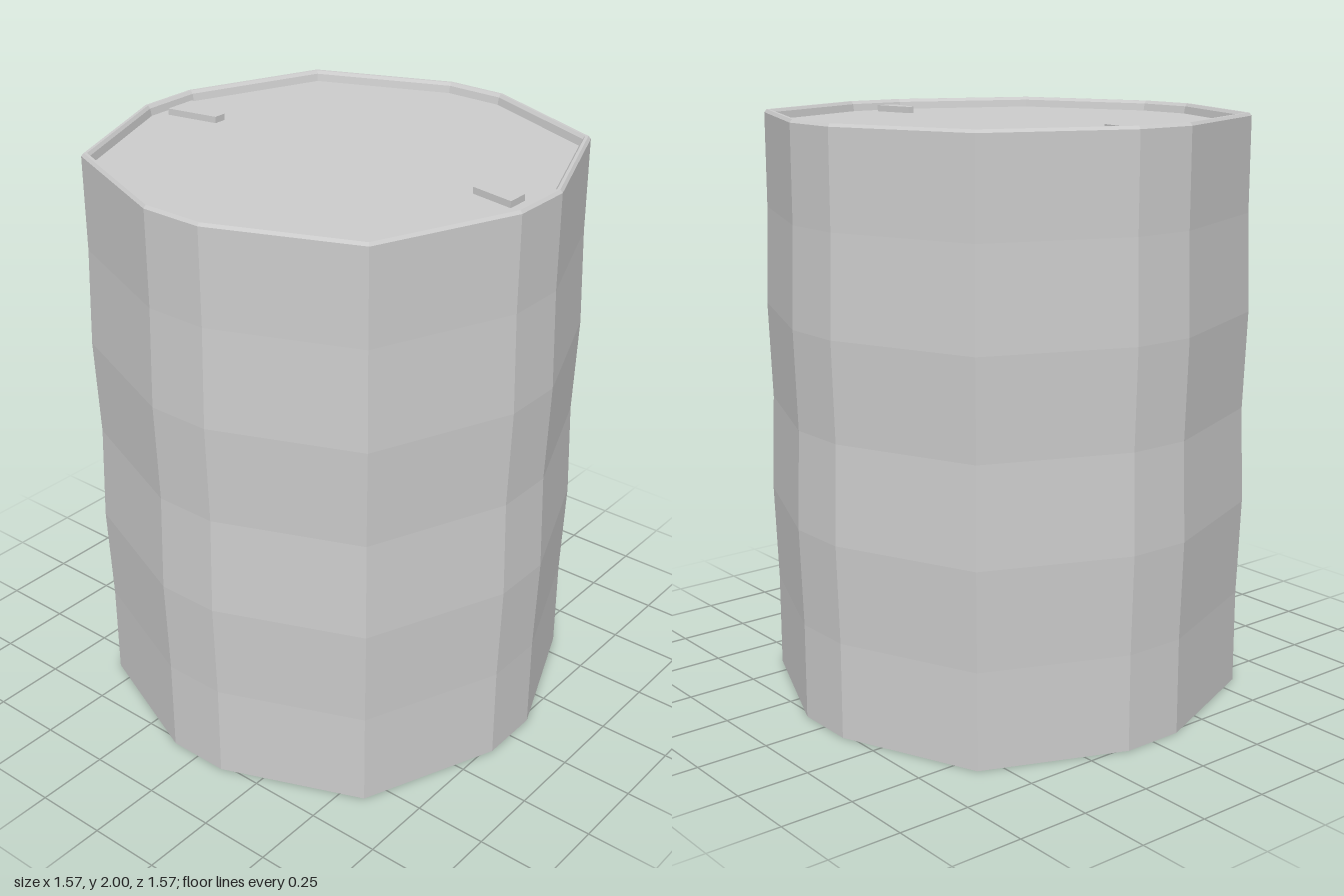
import * as THREE from 'three';

// Quarter of the twelve-sided plan, repeated by 90 degree turns
const plan = [];
for (let q = 0; q < 4; q++) {
  const c = [1, 0, -1, 0][q], s = [0, 1, 0, -1][q];
  for (const [x, z] of [[1, -0.14], [1, 0.14], [0.75, 0.75]]) {
    plan.push([x * c - z * s, x * s + z * c]);
  }
}

// Flat-faced skin through scaled copies of the plan; profile holds [radius, y] pairs
function skin(profile) {
  const pos = [];
  const at = ([r, y], i) => {
    const [x, z] = plan[i % plan.length];
    return [x * r, y, z * r];
  };
  for (let k = 0; k < profile.length - 1; k++) {
    const low = profile[k], up = profile[k + 1];
    for (let i = 0; i < plan.length; i++) {
      const a = at(low, i), b = at(low, i + 1), c = at(up, i + 1), d = at(up, i);
      if (low[0] > 0) pos.push(...a, ...c, ...b);
      if (up[0] > 0) pos.push(...a, ...d, ...c);
    }
  }
  // A profile ending on the axis closes with a fan
  const last = profile[profile.length - 1];
  const geometry = new THREE.BufferGeometry();
  geometry.setAttribute('position', new THREE.Float32BufferAttribute(pos, 3));
  geometry.computeVertexNormals();
  geometry.userData.top = last[1];
  return geometry;
}

// Tapered raised plate lying on the lid, wide at zWide and narrow at zNarrow
function wedge(zWide, halfWide, zNarrow, halfNarrow, y, height) {
  const shape = new THREE.Shape([
    new THREE.Vector2(-halfWide, -zWide),
    new THREE.Vector2(halfWide, -zWide),
    new THREE.Vector2(halfNarrow, -zNarrow),
    new THREE.Vector2(-halfNarrow, -zNarrow),
  ]);
  return new THREE.ExtrudeGeometry(shape, { depth: height, bevelEnabled: false })
    .rotateX(-Math.PI / 2)
    .translate(0, y, 0);
}

export function createModel() {
  const model = new THREE.Group();
  const steel = new THREE.MeshStandardMaterial({ color: 0xcccccc });
  steel.name = 'grey steel';

  const add = (name, geometry) => {
    const mesh = new THREE.Mesh(geometry, steel);
    mesh.name = name;
    model.add(mesh);
  };

  const lidY = 1.965;

  // Closed base and wall with two shallow bulges
  add('barrelBody', skin([
    [0, 0], [0.772, 0], [0.772, 0.33], [0.783, 0.665], [0.772, 1],
    [0.783, 1.335], [0.772, 1.67], [0.772, 1.99],
  ]));

  // Bevelled lip dropping to the recessed lid
  add('rim', skin([
    [0.772, 1.99], [0.764, 2], [0.754, 2], [0.746, 1.99], [0.741, lidY],
  ]));
  add('lid', skin([[0.741, lidY], [0, lidY]]));

  // Large and small stoppers
  add('backStopper', wedge(-0.705, 0.058, -0.52, 0.022, lidY, 0.022));
  add('frontStopper', wedge(0.685, 0.038, 0.53, 0.011, lidY, 0.022));

  return model;
}
